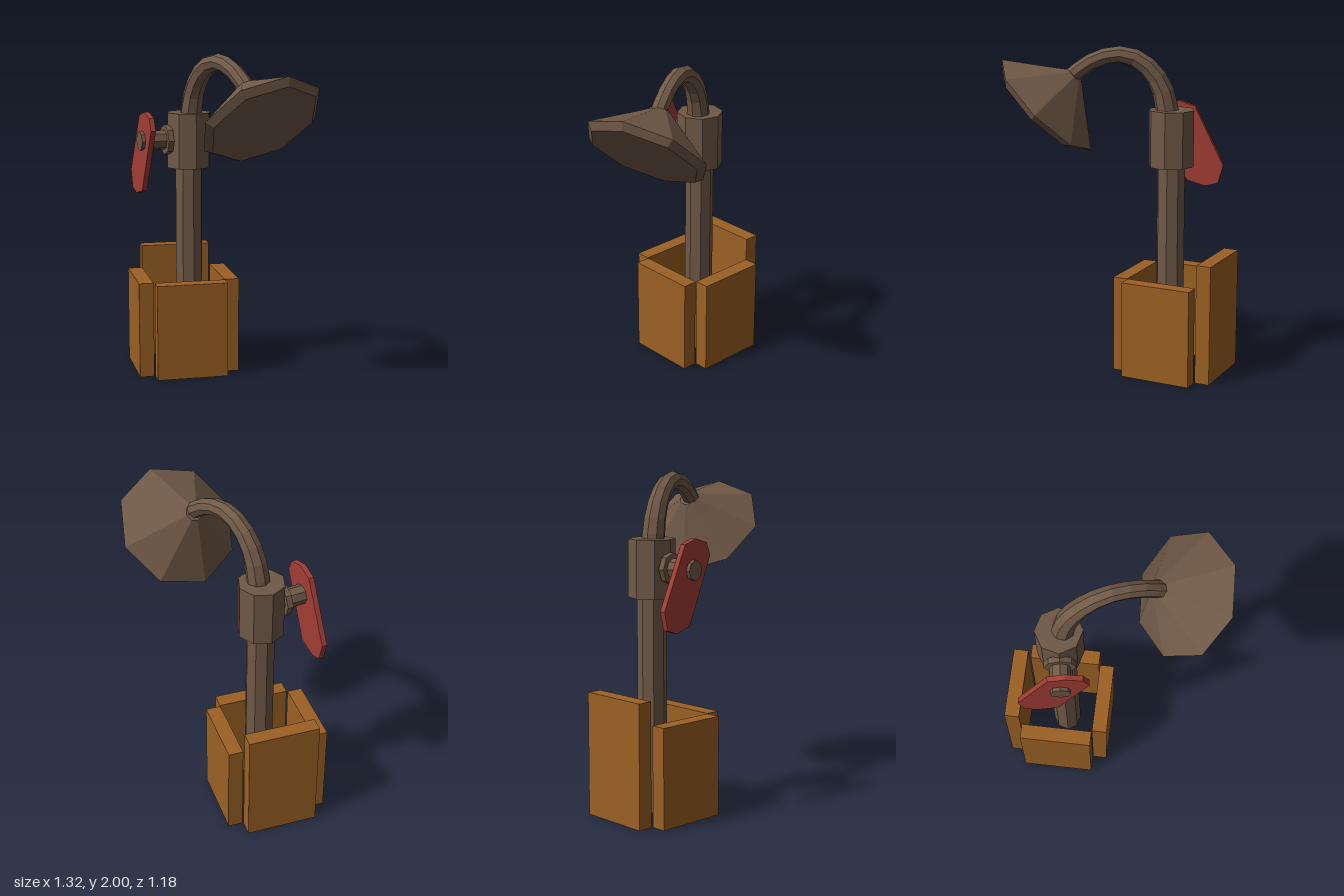
import * as THREE from 'three';

const deg = THREE.MathUtils.degToRad;

export function createModel() {
  const model = new THREE.Group();
  model.name = 'plankBoxShower';

  const metal = new THREE.MeshStandardMaterial({ name: 'agedMetal', color: 0x705947, flatShading: true });
  const wood = new THREE.MeshStandardMaterial({ name: 'wood', color: 0x9c6124, flatShading: true });
  const red = new THREE.MeshStandardMaterial({ name: 'redPaint', color: 0xa23d34, flatShading: true });

  function add(name, geometry, material, parent, x = 0, y = 0, z = 0, yaw = 0) {
    const mesh = new THREE.Mesh(geometry, material);
    mesh.name = name;
    mesh.position.set(x, y, z);
    mesh.rotation.y = yaw;
    parent.add(mesh);
    return mesh;
  }

  // Four planks laid out as a pinwheel around the pipe; the back one is taller
  const box = new THREE.Group();
  box.name = 'plankBox';
  box.position.set(-0.28, 0, -0.208);
  box.rotation.y = deg(28.2);
  model.add(box);
  const boxX = new THREE.Vector2(Math.cos(deg(28.2)), -Math.sin(deg(28.2)));
  const boxZ = new THREE.Vector2(-boxX.y, boxX.x);
  const planks = [
    ['backPlank', -0.41, -0.447, 0.735, 0],
    ['frontPlank', -0.15, 0.03, 0.595, 0],
    ['leftPlank', -0.044, -0.336, 0.595, 90],
    ['rightPlank', -0.516, -0.078, 0.595, 90],
  ];
  for (const [name, x, z, height, turn] of planks) {
    const offset = new THREE.Vector2(x + 0.28, z + 0.208);
    add(name, new THREE.BoxGeometry(0.44, height, 0.091), wood, box,
      offset.dot(boxX), height / 2, offset.dot(boxZ), deg(turn));
  }

  // Upright pipe and the thicker valve body
  const px = -0.235, pz = -0.206;
  add('pipe', new THREE.CylinderGeometry(0.087, 0.087, 1.4, 8), metal, model, px, 0.7, pz, deg(-8.7));
  add('valveBody', new THREE.CylinderGeometry(0.139, 0.139, 0.34, 8), metal, model, px, 1.45, pz, deg(-8.7));

  // Curved arm, tapering towards the shower head
  const armStart = new THREE.Vector3(-0.225, 0, -0.2);
  const armDir = new THREE.Vector3(0.455, 0, 0.37).normalize();
  const armPoints = [[0.01, 1.55], [0.02, 1.65], [0.055, 1.77], [0.13, 1.872], [0.22, 1.93],
    [0.31, 1.945], [0.4, 1.927], [0.49, 1.885], [0.61, 1.79]]
    .map(([s, y]) => armStart.clone().addScaledVector(armDir, s).setY(y));
  const path = new THREE.CatmullRomCurve3(armPoints);
  const rings = 10, sides = 8;
  const armGeometry = new THREE.TubeGeometry(path, rings, 1, sides);
  const pos = armGeometry.attributes.position;
  const vertex = new THREE.Vector3();
  for (let i = 0; i < pos.count; i++) {
    const t = Math.floor(i / (sides + 1)) / rings;
    const centre = path.getPointAt(t);
    vertex.fromBufferAttribute(pos, i).sub(centre);
    vertex.multiplyScalar(THREE.MathUtils.lerp(0.072, 0.05, Math.min(1, t * 1.6))).add(centre);
    pos.setXYZ(i, vertex.x, vertex.y, vertex.z);
  }
  add('curvedArm', armGeometry, metal, model);

  // Flared shower head with a chamfered rim, tilted outwards and down
  const profile = [[0, -0.04], [0.335, -0.04], [0.376, 0], [0.14, 0.18], [0.052, 0.25], [0, 0.25]]
    .map(([r, y]) => new THREE.Vector2(r, y));
  const head = add('showerHead', new THREE.LatheGeometry(profile, 8), metal, model, 0.343, 1.641, 0.264);
  const axis = new THREE.Vector3(-0.508, 0.706, -0.49).normalize();
  const side = axis.clone().cross(new THREE.Vector3(0.197, 0.264, 0.176)).normalize();
  const rim = side.clone().cross(axis);
  head.quaternion.setFromRotationMatrix(new THREE.Matrix4().makeBasis(side, axis, rim));

  // Valve control: flange, spindle and red lever, pointing along local z
  const control = new THREE.Group();
  control.name = 'valveControl';
  control.position.set(px, 1.455, pz);
  control.rotation.y = deg(-53.7);
  model.add(control);
  const rod = (name, r, from, to) => add(name,
    new THREE.CylinderGeometry(r, r, to - from, 8).rotateX(Math.PI / 2), metal, control, 0, 0, (from + to) / 2);
  rod('flange', 0.093, 0.125, 0.16);
  rod('spindle', 0.06, 0.1, 0.32);
  const leverShape = new THREE.Shape([[0.03, 0.178], [-0.07, 0.15], [-0.255, -0.21], [-0.225, -0.32],
    [-0.145, -0.345], [-0.025, -0.315], [0.165, 0.075], [0.13, 0.15]]
    .map(([x, y]) => new THREE.Vector2(x, y)));
  add('lever', new THREE.ExtrudeGeometry(leverShape, { depth: 0.032, bevelEnabled: false }),
    red, control, 0, 0, 0.266);

  return model;
}
